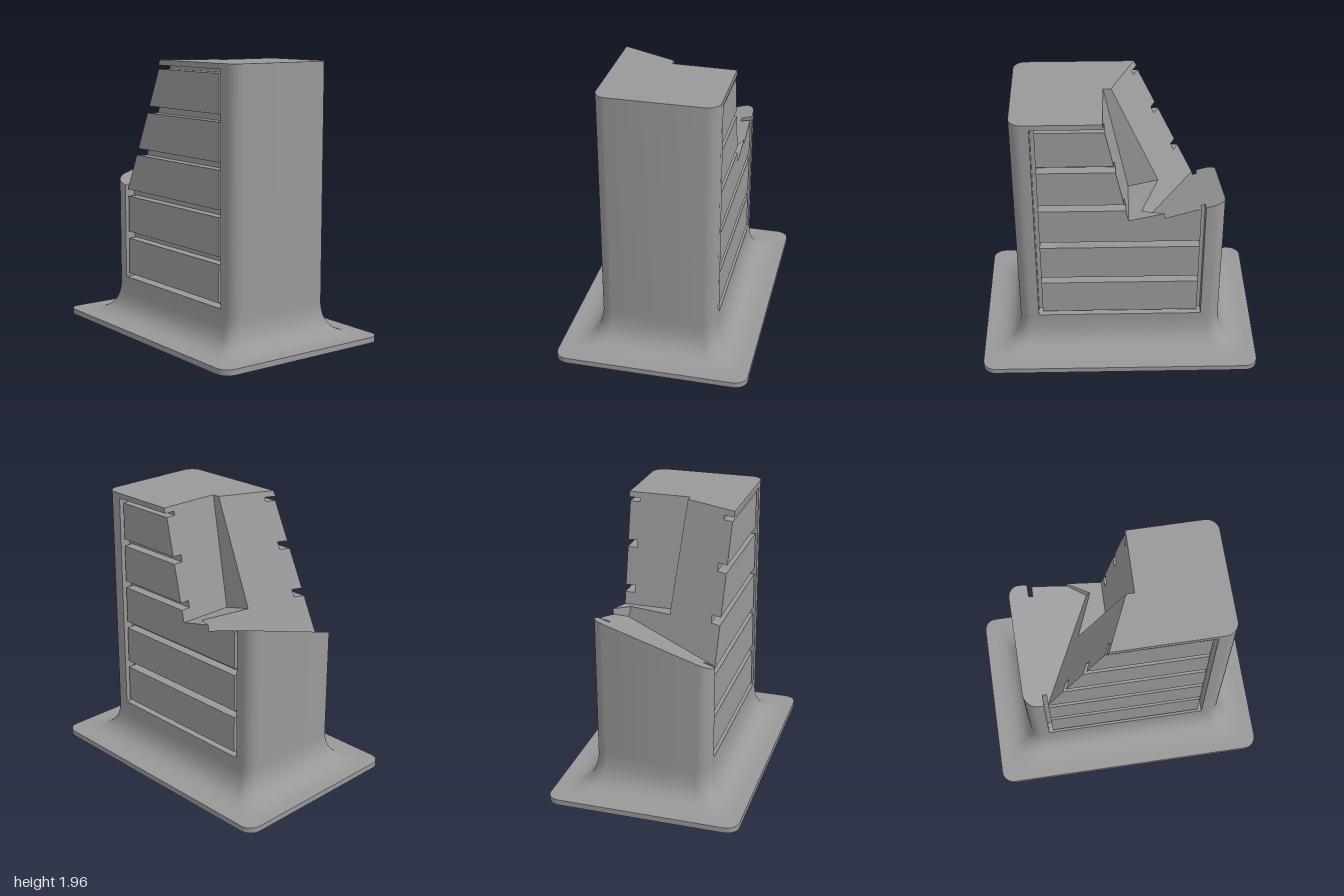
import * as THREE from 'three';
import { ConvexGeometry } from 'three/addons/geometries/ConvexGeometry.js';
import { mergeGeometries, toCreasedNormals } from 'three/addons/utils/BufferGeometryUtils.js';

const W = 0.414, D = 0.728, R = 0.09;       // tower half width, half depth, corner radius
const FOOT = 0.04, Y0 = 0.28, Y1 = 1.96;    // plate top, start and end of the straight walls
const GROOVE = 0.335, PANEL = 0.405;        // x of the groove floor and of the panel faces
const SEG = 8;

// A half-space [a, b, c, d] keeps the points with ax + by + cz <= d
const flip = (p) => p.map((v) => -v);
const box = (x0, x1, y0, y1, z0, z1) => [
  [-1, 0, 0, -x0], [1, 0, 0, x1], [0, -1, 0, -y0], [0, 1, 0, y1], [0, 0, -1, -z0], [0, 0, 1, z1],
];

// Rounded outline of the tower as half-spaces
const outline = [[0, -1, 0, -Y0], [0, 1, 0, Y1]];
for (const sx of [-1, 1]) for (const sz of [-1, 1]) {
  for (let i = 0; i <= SEG; i++) {
    if ((i === 0 && sz < 0) || (i === SEG && sx < 0)) continue;
    const a = (i / SEG) * Math.PI / 2;
    const nx = sx * Math.cos(a), nz = sz * Math.sin(a);
    outline.push([nx, 0, nz, nx * sx * (W - R) + nz * sz * (D - R) + R]);
  }
}

// Planes of the broken rear corner, and the convex zones of what still stands
const floorLow = [-0.32, 1, 0.32, 0.958];
const wallLeft = [0.44, 0.469, -1, 0.854];
const wallMid = [1, 0.044, 0, 0.0515];
const wallRight = [0.02, 0.22, -1, 0.326];
const floorHigh = [0, 1, 0.24, 1.155];
const step = [-0.775, 0, -0.4, -0.19];
const ledge = [flip(floorLow), flip(wallMid), flip(wallRight), floorHigh];
const zones = [
  [floorLow],
  [flip(floorLow), wallLeft, wallMid],
  [flip(floorLow), flip(wallMid), wallRight],
  [...ledge, wallLeft],
  [...ledge, flip(wallLeft), step],
];

// Corner points of the convex solid bounded by the half-spaces
function corners(planes) {
  const n = planes.map((p) => new THREE.Vector3(p[0], p[1], p[2]));
  const points = [];
  const c = new THREE.Vector3();
  for (let i = 0; i < n.length; i++) for (let j = i + 1; j < n.length; j++) {
    const ij = n[i].clone().cross(n[j]);
    if (ij.lengthSq() < 1e-8) continue;
    for (let k = j + 1; k < n.length; k++) {
      const det = ij.dot(n[k]);
      if (Math.abs(det) < 1e-6) continue;
      const p = ij.clone().multiplyScalar(planes[k][3])
        .addScaledVector(c.copy(n[j]).cross(n[k]), planes[i][3])
        .addScaledVector(c.copy(n[k]).cross(n[i]), planes[j][3])
        .divideScalar(det);
      if (planes.some((q, m) => n[m].dot(p) > q[3] + 1e-6)) continue;
      if (!points.some((q) => q.distanceToSquared(p) < 1e-9)) points.push(p);
    }
  }
  return points;
}

// A convex block with the broken corner taken away
function broken(planes) {
  const parts = [];
  for (const zone of zones) {
    const pts = corners([...planes, ...zone]);
    if (pts.length < 4) continue;
    const size = new THREE.Box3().setFromPoints(pts).getSize(new THREE.Vector3());
    if (Math.min(size.x, size.y, size.z) < 1e-4) continue;
    parts.push(toCreasedNormals(new ConvexGeometry(pts), 0.5));
  }
  return parts;
}

// Rounded rectangle as a loop of [x, z] points
function ring(w, d, r) {
  const pts = [];
  for (let q = 0; q < 4; q++) {
    const sx = q === 0 || q === 3 ? 1 : -1, sz = q < 2 ? 1 : -1;
    for (let i = 0; i <= SEG; i++) {
      const a = (q + i / SEG) * Math.PI / 2;
      pts.push([sx * (w - r) + r * Math.cos(a), sz * (d - r) + r * Math.sin(a)]);
    }
  }
  return pts;
}

// Concave skirt blending the tower into the plate, from its foot upwards
function skirtGeometry() {
  const pos = [], index = [], steps = 16, n = 4 * (SEG + 1);
  for (let s = 0; s <= steps; s++) {
    const t = s / steps;
    const out = 0.2 * (1 - t) ** 2, y = FOOT + (Y0 - FOOT) * t * t;
    for (const [x, z] of ring(W + out, D + out, R + out * 0.25)) pos.push(x, y, z);
    if (s === steps) break;
    for (let i = 0; i < n; i++) {
      const j = (i + 1) % n, p = s * n;
      index.push(p + i, p + n + i, p + j, p + j, p + n + i, p + n + j);
    }
  }
  const g = new THREE.BufferGeometry();
  g.setAttribute('position', new THREE.Float32BufferAttribute(pos, 3));
  g.setIndex(index);
  g.computeVertexNormals();
  return g;
}

export function createModel() {
  const model = new THREE.Group();
  const material = new THREE.MeshStandardMaterial({ color: 0x999999 });
  const add = (name, geometry) => {
    const mesh = new THREE.Mesh(geometry, material);
    mesh.name = name;
    model.add(mesh);
  };

  // Base plate and skirt
  const shape = new THREE.Shape(ring(0.685, 1, R).map(([x, z]) => new THREE.Vector2(x, z)));
  const plate = new THREE.ExtrudeGeometry(shape, { depth: FOOT, bevelEnabled: false });
  plate.rotateX(-Math.PI / 2);
  add('basePlate', toCreasedNormals(plate, 0.5));
  add('skirt', skirtGeometry());

  // Rounded front and rear ends, and the core behind the side panels
  const zEnd = 0.59, zPanel = 0.56, low = 0.32, high = 1.922;
  add('frontEnd', mergeGeometries(broken([...outline, [0, 0, -1, -zEnd]])));
  add('rearEnd', mergeGeometries(broken([...outline, [0, 0, 1, -zEnd]])));
  add('core', mergeGeometries(broken(box(-GROOVE, GROOVE, Y0, Y1, -zEnd, zEnd))));

  // Both sides: wall strips below and above, and five panels parted by deep grooves
  for (const side of [-1, 1]) {
    const name = side > 0 ? 'left' : 'right';
    const slab = (x, y0, y1, z) => broken(side > 0
      ? box(GROOVE, x, y0, y1, -z, z) : box(-x, -GROOVE, y0, y1, -z, z));
    add(name + 'LowerWall', mergeGeometries(slab(W, Y0, low, zEnd)));
    add(name + 'UpperWall', mergeGeometries(slab(W, high, Y1, zEnd)));
    for (let i = 0; i < 5; i++) {
      const y = 0.35 + 0.319 * i;
      add(name + 'Panel' + (i + 1), mergeGeometries(slab(PANEL, y, y + 0.268, zPanel)));
    }
  }
  return model;
}
